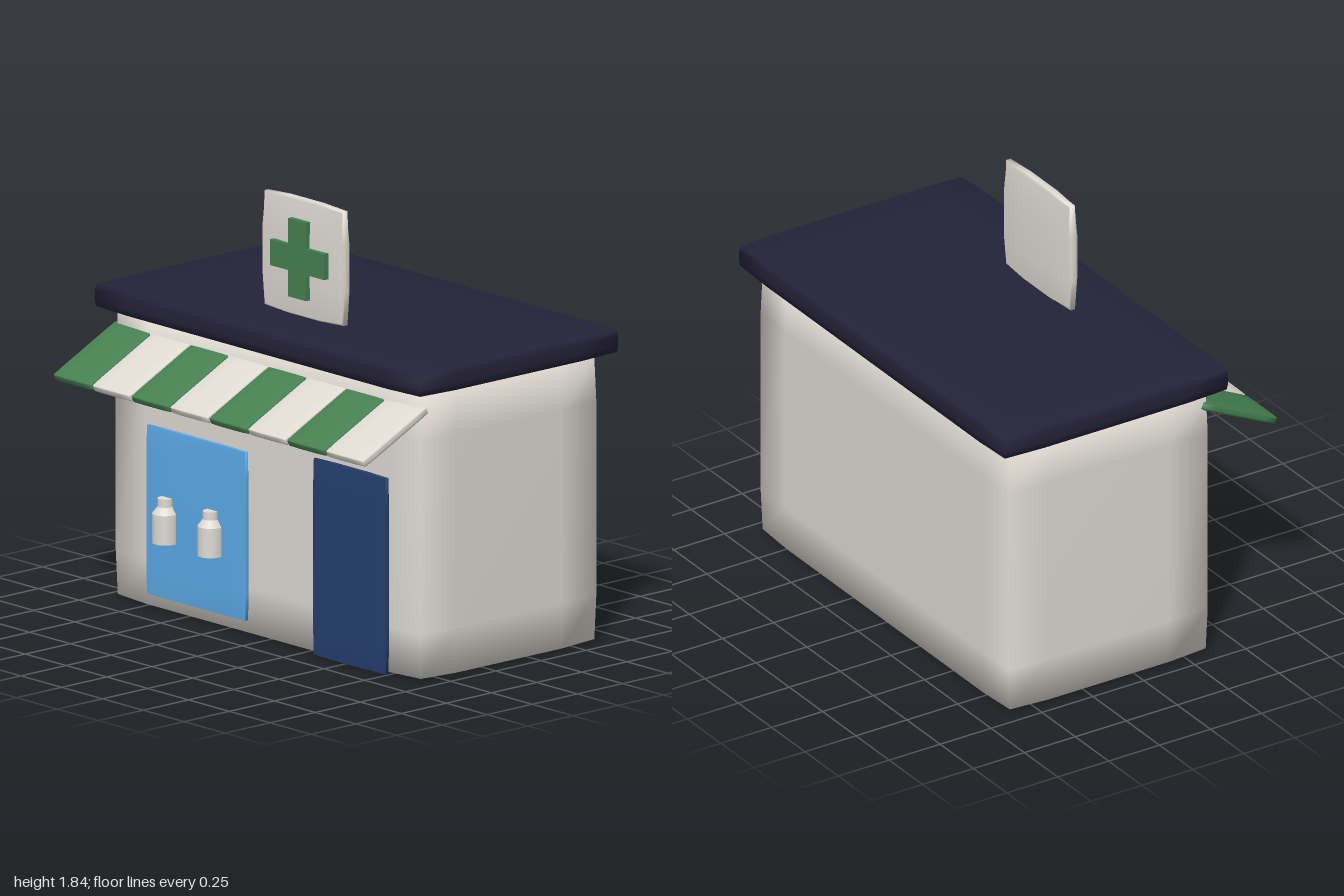
import * as THREE from 'three';
import { mergeVertices } from 'three/addons/utils/BufferGeometryUtils.js';

const material = (name, color) => {
  const m = new THREE.MeshStandardMaterial({ color });
  m.name = name;
  return m;
};

// Box with shared corners, so its shading rolls softly over the edges.
// rim = width of the soft band per axis, pull = how far edges and corners sink in.
function softBox(size, rim, pull) {
  const geo = new THREE.BoxGeometry(2, 2, 2, 3, 3, 3);
  geo.deleteAttribute('normal');
  geo.deleteAttribute('uv');
  const merged = mergeVertices(geo, 1e-3);
  const pos = merged.attributes.position;
  for (let i = 0; i < pos.count; i++) {
    const p = [pos.getX(i), pos.getY(i), pos.getZ(i)];
    const outer = p.filter((v) => Math.abs(v) > 0.9).length;
    const q = p.map((v, k) => {
      const half = size[k] / 2;
      const inset = Math.abs(v) > 0.9 ? pull * (outer - 1) : Math.min(rim, half * 0.65);
      return Math.sign(v) * (half - inset);
    });
    pos.setXYZ(i, ...q);
  }
  merged.computeVertexNormals();
  return merged;
}

export function createModel() {
  const white = material('offWhite', 0xdedad2);
  const navy = material('roofNavy', 0x242238);
  const blue = material('doorBlue', 0x253f6e);
  const glass = material('windowBlue', 0x5caae6);
  const green = material('green', 0x458050);

  const group = new THREE.Group();
  group.name = 'pharmacyShop';
  const add = (name, geo, mat, x, y, z, parent = group) => {
    const mesh = new THREE.Mesh(geo, mat);
    mesh.name = name;
    mesh.position.set(x, y, z);
    parent.add(mesh);
    return mesh;
  };

  // Building and roof slab
  add('walls', softBox([1.88, 1.22, 0.985], 0.2, 0.006), white, 0, 0.612, -0.13);
  add('roof', softBox([2, 0.108, 1.105], 0.2, 0.004), navy, 0, 1.281, -0.133);

  // Door and shop window
  add('door', softBox([0.445, 0.838, 0.026], 0.12, 0.002), blue, 0.527, 0.419, 0.374);
  add('window', softBox([0.607, 0.72, 0.026], 0.12, 0.002), glass, -0.417, 0.42, 0.371);

  // Striped awning
  const awning = new THREE.Group();
  awning.name = 'awning';
  awning.position.set(0, 1.072, 0.508);
  awning.rotation.x = 0.45;
  group.add(awning);
  const panel = softBox([0.23, 0.033, 0.388], 0.06, 0.001);
  for (let i = 0; i < 8; i++) {
    add('awningStripe', panel, i % 2 ? white : green, (i - 3.5) * 0.2385, 0, 0, awning);
  }

  // Bottles in the window
  const lower = new THREE.CylinderGeometry(0.055, 0.055, 0.125, 20);
  const shoulder = new THREE.CylinderGeometry(0.032, 0.055, 0.03, 20);
  const cap = new THREE.CylinderGeometry(0.033, 0.033, 0.034, 20);
  for (const x of [-0.587, -0.31]) {
    const bottle = new THREE.Group();
    bottle.name = 'bottle';
    bottle.position.set(x, 0.307, 0.395);
    group.add(bottle);
    add('bottleBody', lower, white, 0, 0.0625, 0, bottle);
    add('bottleShoulder', shoulder, white, 0, 0.14, 0, bottle);
    add('bottleCap', cap, white, 0, 0.172, 0, bottle);
  }

  // Roof sign with a raised cross
  add('signBoard', softBox([0.5, 0.5, 0.06], 0.15, 0.008), white, 0, 1.587, 0.147);
  const a = 0.055, b = 0.166;
  const outline = [[-a, -b], [a, -b], [a, -a], [b, -a], [b, a], [a, a],
    [a, b], [-a, b], [-a, a], [-b, a], [-b, -a], [-a, -a]];
  const cross = new THREE.Shape(outline.map(([x, y]) => new THREE.Vector2(x, y)));
  add('signCross', new THREE.ExtrudeGeometry(cross, { depth: 0.03, bevelEnabled: false }),
    green, 0, 1.587, 0.167);

  return group;
}
